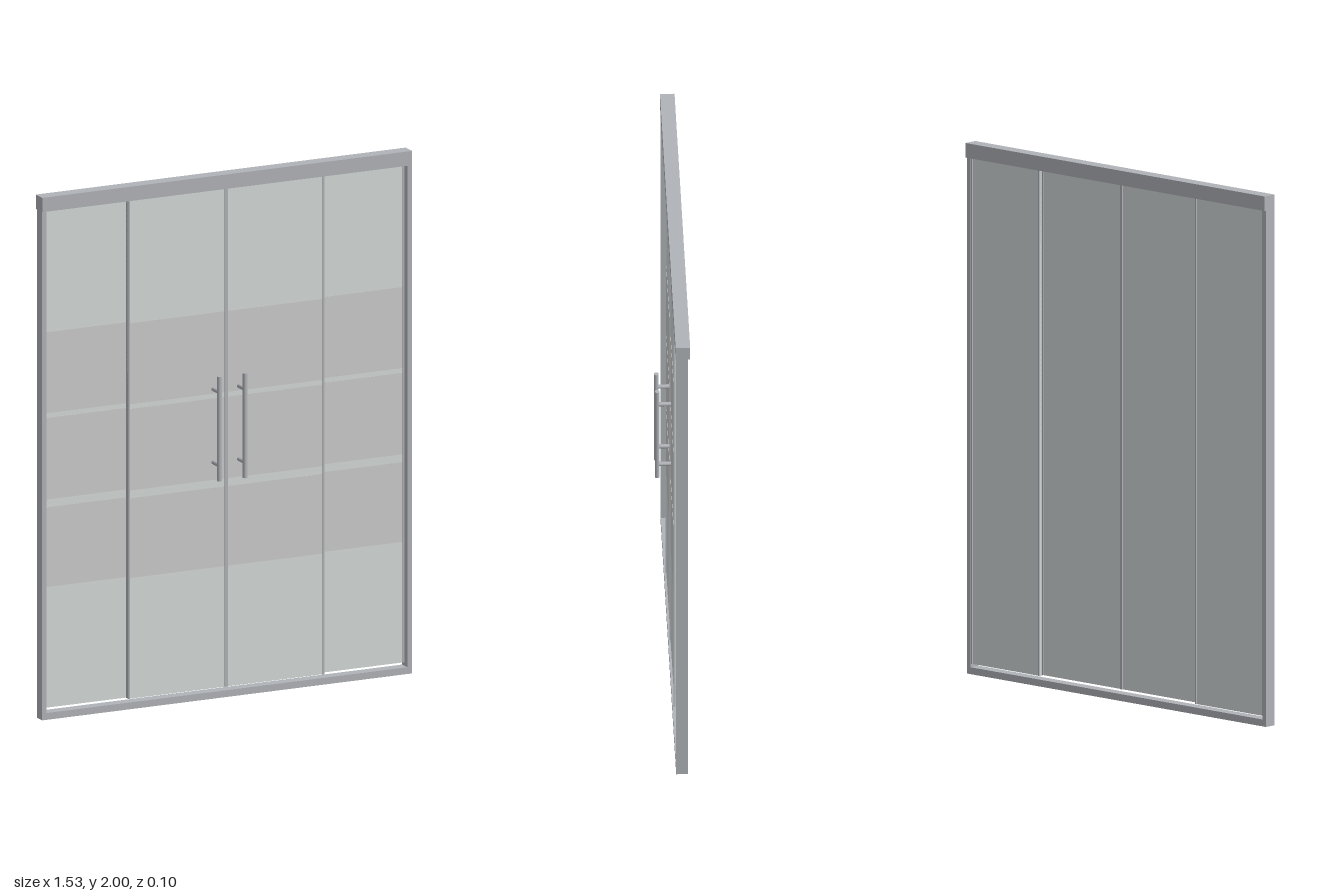
import * as THREE from 'three';

export function createModel() {
  const root = new THREE.Group();
  const metal = new THREE.MeshStandardMaterial({ color: 0xb0b3b8 });
  const glass = new THREE.MeshStandardMaterial({ color: 0xd4d9d8 });
  const frosted = new THREE.MeshStandardMaterial({ color: 0xc2c6c4 });

  // Box given by its limits on each axis
  function box(parent, name, material, [x0, x1], [y0, y1], [z0, z1]) {
    const mesh = new THREE.Mesh(new THREE.BoxGeometry(x1 - x0, y1 - y0, z1 - z0), material);
    mesh.position.set((x0 + x1) / 2, (y0 + y1) / 2, (z0 + z1) / 2);
    mesh.name = name;
    parent.add(mesh);
  }

  // Outer frame
  const frame = new THREE.Group();
  frame.name = 'frame';
  root.add(frame);
  box(frame, 'headerRail', metal, [-0.765, 0.765], [1.945, 2], [-0.052, 0.002]);
  box(frame, 'bottomTrack', metal, [-0.765, 0.765], [0, 0.026], [-0.044, 0]);
  box(frame, 'rightJamb', metal, [-0.765, -0.746], [0, 1.945], [-0.044, 0]);
  box(frame, 'leftJamb', metal, [0.746, 0.765], [0, 1.945], [-0.044, 0]);

  // Glass panel with edge strips and frosted bands on its front face
  const bands = [[0.5, 0.805], [0.835, 1.147], [1.165, 1.475]];
  function panel(name, x0, x1, z) {
    const g = new THREE.Group();
    g.name = name;
    box(g, 'glassPane', glass, [x0, x1], [0.038, 1.946], [z - 0.004, z + 0.004]);
    for (const [a, b] of [[x0, x0 + 0.006], [x1 - 0.006, x1]])
      box(g, 'edgeStrip', metal, [a, b], [0.038, 1.946], [z - 0.008, z + 0.008]);
    for (const band of bands)
      box(g, 'frostedBand', frosted, [x0 + 0.006, x1 - 0.006], band, [z + 0.003, z + 0.005]);
    root.add(g);
  }
  // Fixed panes sit behind, sliding doors in front
  panel('rightFixedPanel', -0.746, -0.398, -0.033);
  panel('rightDoor', -0.405, 0, -0.012);
  panel('leftDoor', 0, 0.405, -0.012);
  panel('leftFixedPanel', 0.398, 0.746, -0.033);

  // Round bar handles on two standoffs
  for (const side of [-1, 1]) {
    const handle = new THREE.Group();
    handle.name = side < 0 ? 'rightHandle' : 'leftHandle';
    handle.position.x = side * 0.053;
    const bar = new THREE.Mesh(new THREE.CylinderGeometry(0.009, 0.009, 0.4, 24), metal);
    bar.name = 'handleBar';
    bar.position.set(0, 1.043, 0.043);
    handle.add(bar);
    for (const y of [0.903, 1.183]) {
      const post = new THREE.Mesh(new THREE.CylinderGeometry(0.008, 0.008, 0.051, 20), metal);
      post.name = 'handleStandoff';
      post.rotation.x = Math.PI / 2;
      post.position.set(0, y, 0.0175);
      handle.add(post);
    }
    root.add(handle);
  }
  return root;
}
